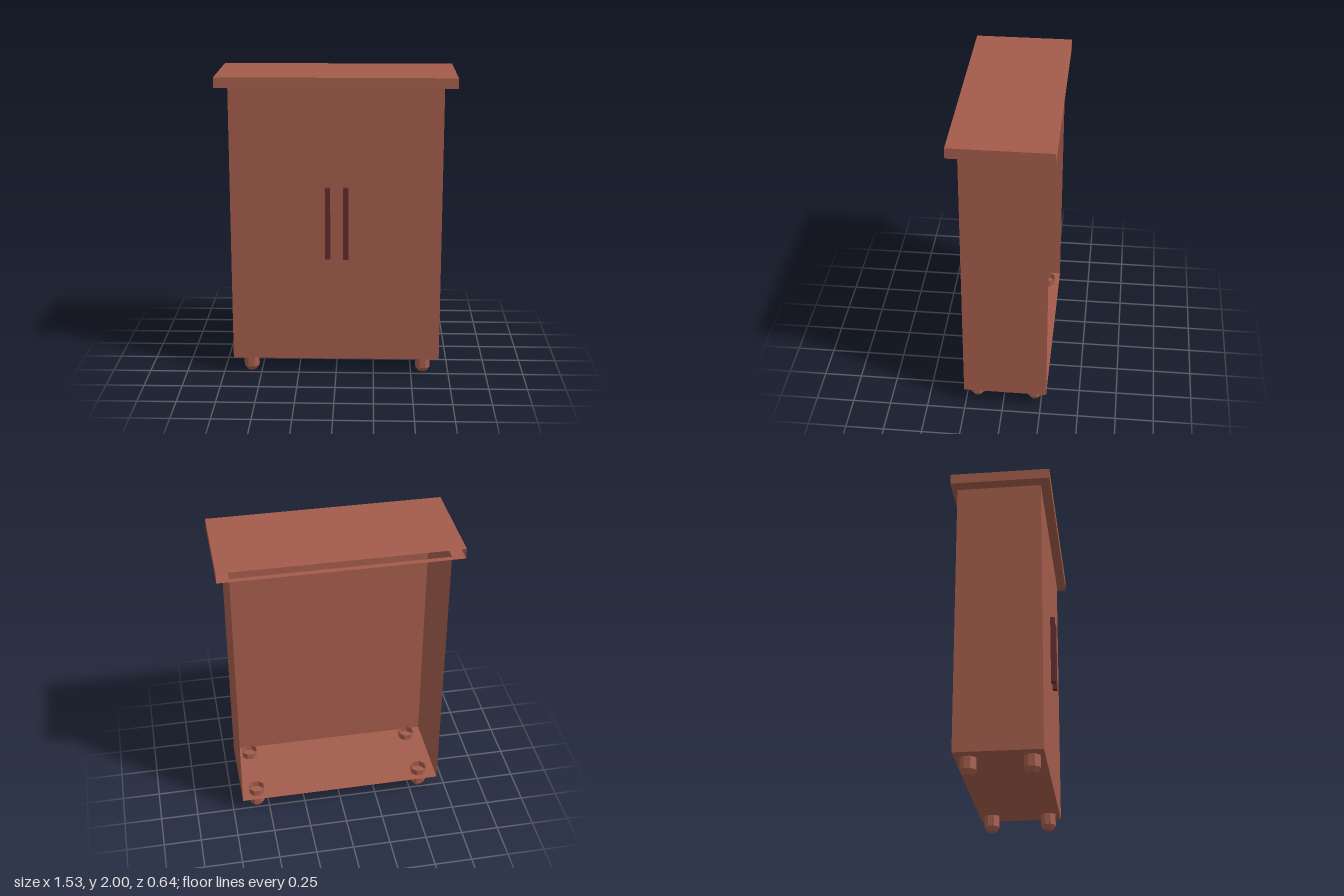
import * as THREE from 'three';

// Low-poly two-door cabinet: a thin open-backed shell on four stubby feet.
export function createModel() {
  const wood = new THREE.MeshStandardMaterial({ color: 0xa35c4b, side: THREE.DoubleSide, flatShading: true });
  wood.name = 'red brown wood';
  const dark = new THREE.MeshStandardMaterial({ color: 0x602b2e });
  dark.name = 'dark maroon';

  const model = new THREE.Group();
  model.name = 'cabinet';

  const add = (parent, name, geometry, material, x = 0, y = 0, z = 0) => {
    const mesh = new THREE.Mesh(geometry, material);
    mesh.name = name;
    mesh.position.set(x, y, z);
    parent.add(mesh);
    return mesh;
  };
  const group = (name) => {
    const g = new THREE.Group();
    g.name = name;
    model.add(g);
    return g;
  };

  // Front panel and two side panels, without a back
  const addWalls = (parent, halfX, y0, y1, zBack, zFront) => {
    const h = y1 - y0, d = zFront - zBack, y = (y0 + y1) / 2, z = (zBack + zFront) / 2;
    add(parent, 'frontPanel', new THREE.PlaneGeometry(halfX * 2, h), wood, 0, y, zFront);
    for (const s of [1, -1]) {
      const side = new THREE.PlaneGeometry(d, h).rotateY(s * Math.PI / 2);
      add(parent, s > 0 ? 'leftPanel' : 'rightPanel', side, wood, s * halfX, y, z);
    }
  };

  const bodyX = 0.685, floorY = 0.106, rimY = 1.932, bodyBack = -0.287, bodyFront = 0.26;
  const capX = 0.765, capZ = 0.322;

  // Body
  const body = group('body');
  addWalls(body, bodyX, floorY, rimY, bodyBack, bodyFront);
  const floor = new THREE.PlaneGeometry(bodyX * 2, bodyFront - bodyBack).rotateX(-Math.PI / 2);
  add(body, 'floor', floor, wood, 0, floorY, (bodyFront + bodyBack) / 2);

  // Overhanging top, open at the back and into the body
  const top = group('top');
  addWalls(top, capX, rimY, 2, -capZ, capZ);
  add(top, 'topBoard', new THREE.PlaneGeometry(capX * 2, capZ * 2).rotateX(-Math.PI / 2), wood, 0, 2, 0);
  const rectangle = (Type, x, z0, z1) => new Type([[-x, z0], [x, z0], [x, z1], [-x, z1]].map(([a, b]) => new THREE.Vector2(a, b)));
  const rim = rectangle(THREE.Shape, capX, -capZ, capZ);
  rim.holes.push(rectangle(THREE.Path, bodyX, bodyBack, bodyFront));
  add(top, 'overhangRim', new THREE.ShapeGeometry(rim).rotateX(Math.PI / 2), wood, 0, rimY, 0);

  // Door handles
  for (const [name, x] of [['leftHandle', 0.064], ['rightHandle', -0.054]]) {
    add(model, name, new THREE.BoxGeometry(0.034, 0.476, 0.03), dark, x, 1.045, bodyFront + 0.017);
  }

  // Hollow eight-sided feet that rise a little through the floor
  const profile = [[0, 0], [0.031, 0], [0.053, 0.03], [0.053, 0.15]].map(([r, y]) => new THREE.Vector2(r, y));
  const foot = new THREE.LatheGeometry(profile, 8, Math.PI / 8);
  for (const x of [-0.57, 0.58]) {
    for (const z of [0.181, -0.204]) {
      add(model, (z > 0 ? 'front' : 'back') + (x > 0 ? 'Left' : 'Right') + 'Foot', foot, wood, x, 0, z);
    }
  }

  return model;
}
